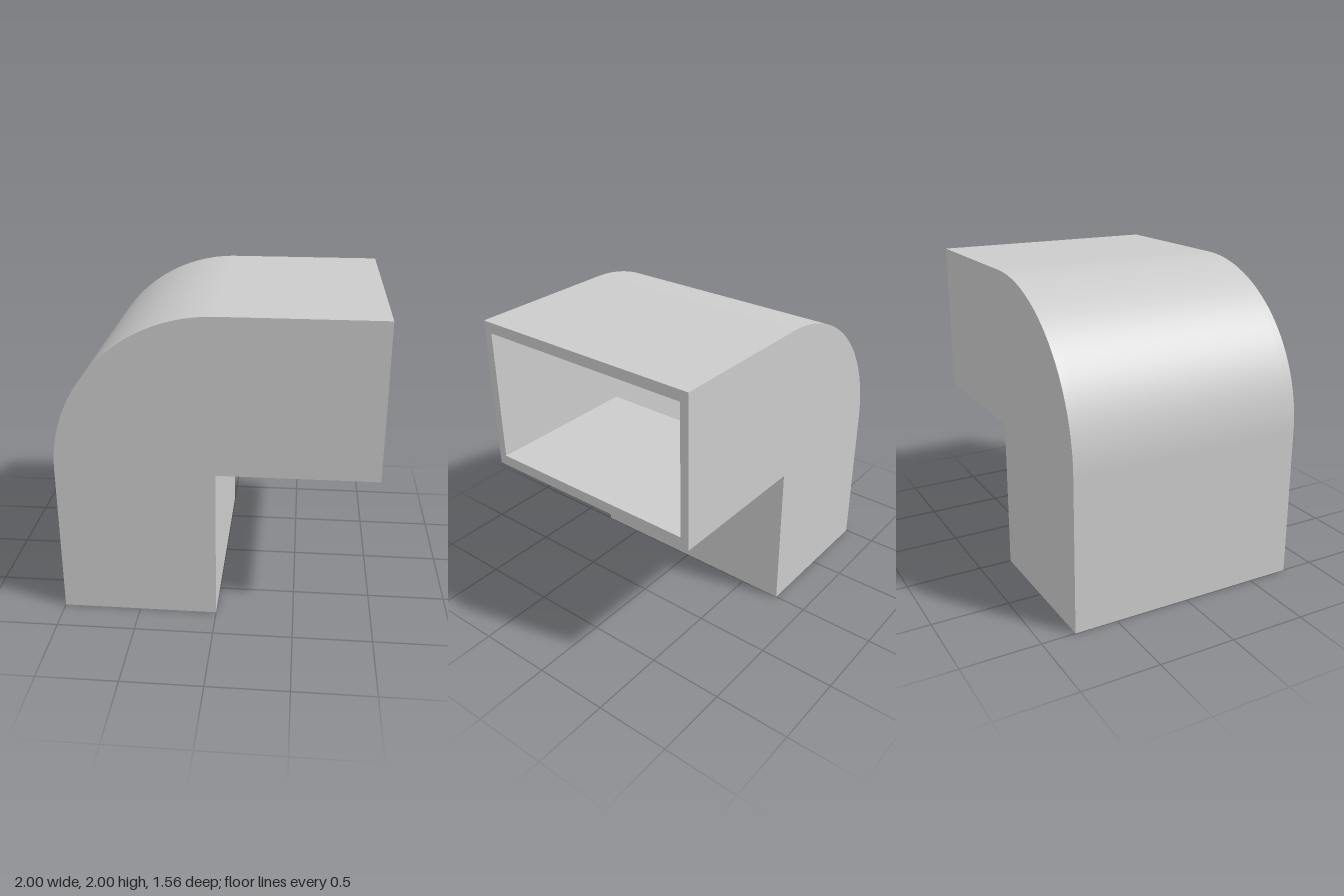
import * as THREE from 'three';
import { toCreasedNormals } from 'three/addons/utils/BufferGeometryUtils.js';

const HALF_DEPTH = 0.78; // outer half width along z
const SIDE = 0.055;      // thickness of the side panels
const WALL = 0.07;       // thickness of the bent walls

export function createModel() {
  const group = new THREE.Group();
  group.name = 'ductElbow';
  const material = new THREE.MeshStandardMaterial({ color: 0xcccccc });

  // Extrude an x-y outline from z0 to z1, smooth round the bend, sharp at corners
  function addPart(name, shape, z0, z1) {
    const raw = new THREE.ExtrudeGeometry(shape, {
      depth: z1 - z0, bevelEnabled: false, curveSegments: 48,
    });
    raw.translate(0, 0, z0);
    const mesh = new THREE.Mesh(toCreasedNormals(raw, Math.PI / 7), material);
    mesh.name = name;
    group.add(mesh);
  }

  // Outer edge of the elbow, from the right mouth over the bend to the bottom mouth
  function outerEdge() {
    const s = new THREE.Shape();
    s.moveTo(1, 2);
    s.lineTo(0, 2);
    s.absarc(0, 1, 1, Math.PI / 2, Math.PI, false);
    s.lineTo(-1, 0);
    return s;
  }

  // Side panels: the full elbow outline
  const panel = outerEdge();
  panel.lineTo(0, 0);
  panel.lineTo(0, 1);
  panel.lineTo(1, 1);
  panel.closePath();
  const inner = HALF_DEPTH - SIDE;
  addPart('frontPanel', panel, inner, HALF_DEPTH);
  addPart('backPanel', panel, -HALF_DEPTH, -inner);

  // Curved outer wall, with the small ledge where the upright shaft ends
  const ledgeY = 1.3;
  const r = 1 - WALL;
  const ledgeAngle = Math.PI - Math.asin((ledgeY - 1) / r);
  const outerWall = outerEdge();
  outerWall.lineTo(-r, 0);
  outerWall.lineTo(-r, ledgeY);
  outerWall.absarc(0, 1, r, ledgeAngle, Math.PI / 2, true);
  outerWall.lineTo(1, 2 - WALL);
  outerWall.closePath();
  addPart('outerWall', outerWall, -inner, inner);

  // Square inner wall under the bend
  const innerWall = new THREE.Shape([
    [0, 0], [0, 1], [1, 1], [1, 1 + WALL], [-WALL, 1 + WALL], [-WALL, 0],
  ].map(([x, y]) => new THREE.Vector2(x, y)));
  addPart('innerWall', innerWall, -inner, inner);

  // Thin lining on the back of the upright shaft
  const lining = new THREE.Shape([
    [-r, 0], [-WALL, 0], [-WALL, 1 + WALL], [-r, 1 + WALL],
  ].map(([x, y]) => new THREE.Vector2(x, y)));
  addPart('shaftLining', lining, -inner, -inner + 0.02);

  return group;
}
